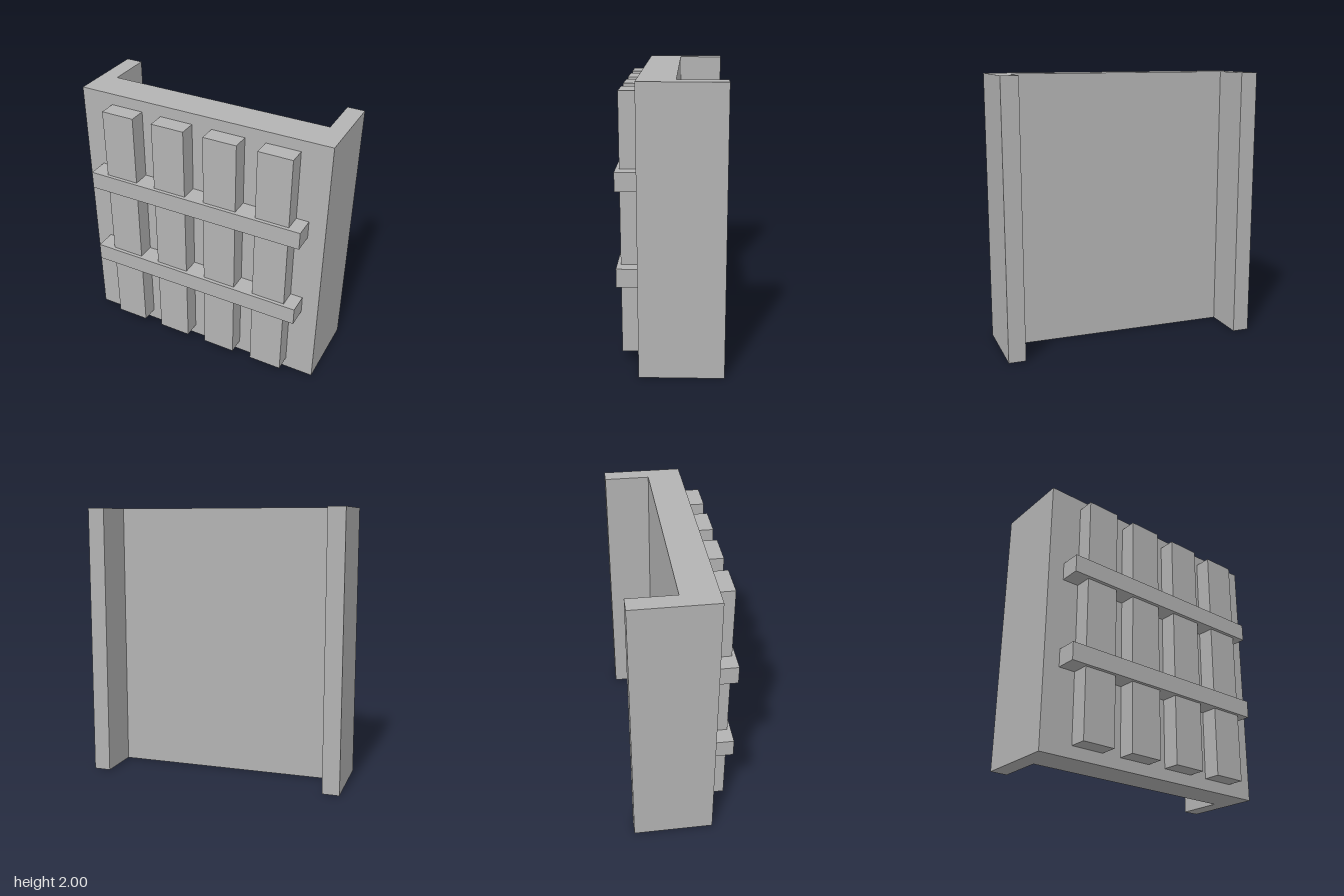
import * as THREE from 'three';

export function createModel() {
  const group = new THREE.Group();
  const grey = new THREE.MeshStandardMaterial({ color: 0xb3b3b3 });
  grey.name = 'grey';

  const add = (name, geometry) => {
    const mesh = new THREE.Mesh(geometry, grey);
    mesh.name = name;
    group.add(mesh);
    return mesh;
  };

  // Box given by its limits on each axis
  const addBox = (name, [x0, x1], [y0, y1], [z0, z1]) =>
    add(name, new THREE.BoxGeometry(x1 - x0, y1 - y0, z1 - z0))
      .position.set((x0 + x1) / 2, (y0 + y1) / 2, (z0 + z1) / 2);

  // Wall panel with two side returns: a U-shaped plan (x, -z) raised to full height
  const plan = [
    [-0.957, -0.215], [0.957, -0.215], [0.957, 0.368], [0.832, 0.368],
    [0.832, 0.037], [-0.832, 0.037], [-0.832, 0.368], [-0.957, 0.368],
  ].map(([x, y]) => new THREE.Vector2(x, y));
  const panel = new THREE.ExtrudeGeometry(new THREE.Shape(plan), { depth: 2, bevelEnabled: false });
  panel.rotateX(-Math.PI / 2);
  add('wallPanel', panel);

  // Upright planks on the front
  for (let i = 0; i < 4; i++) {
    const x = -0.71 + i * 0.4;
    addBox(`plank${i + 1}`, [x, x + 0.25], [0.087, 1.917], [0.215, 0.342]);
  }

  // Cross rails over the planks
  addBox('lowerRail', [-0.835, 0.832], [0.603, 0.735], [0.215, 0.368]);
  addBox('upperRail', [-0.835, 0.832], [1.27, 1.402], [0.215, 0.368]);

  return group;
}
